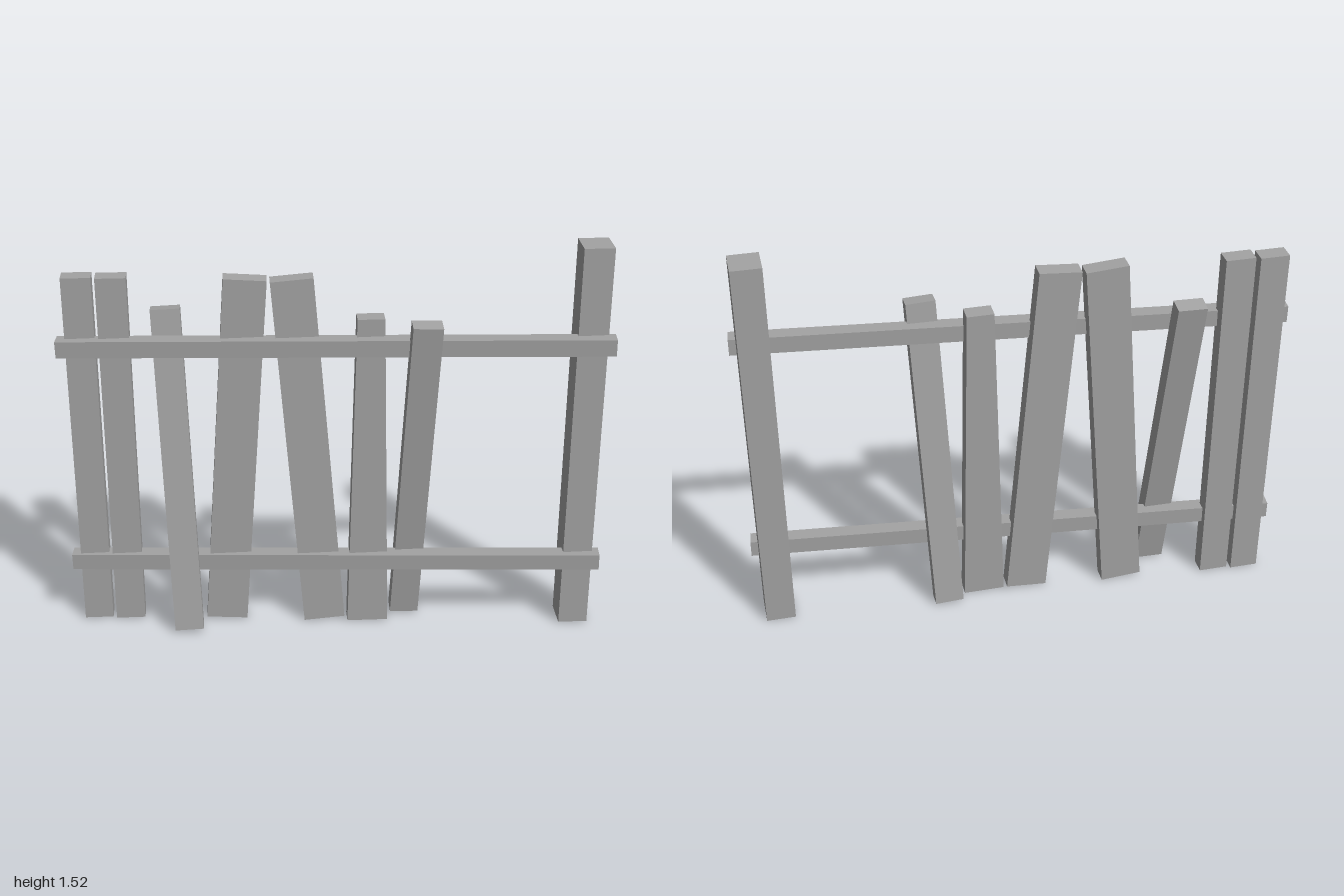
import * as THREE from 'three';

const wood = new THREE.MeshStandardMaterial({ color: 0xa3a3a3 });
wood.name = 'weatheredGrey';

// Squared timber running between two end centres, with an optional taper towards the end.
// side = direction of the width; [width, depth] is the cross-section.
function timber(name, start, end, [width, depth], side, taper = 1) {
  const a = new THREE.Vector3(...start), b = new THREE.Vector3(...end);
  const yAxis = b.clone().sub(a);
  const length = yAxis.length();
  yAxis.normalize();
  const xAxis = side.clone().addScaledVector(yAxis, -side.dot(yAxis)).normalize();
  const zAxis = xAxis.clone().cross(yAxis);

  const geometry = new THREE.BoxGeometry(width, length, depth);
  const p = geometry.attributes.position;
  for (let i = 0; i < p.count; i++) {
    if (p.getY(i) > 0) p.setX(i, p.getX(i) * taper);
  }
  geometry.applyMatrix4(new THREE.Matrix4().makeBasis(xAxis, yAxis, zAxis));
  geometry.computeVertexNormals();
  const mesh = new THREE.Mesh(geometry, wood);
  mesh.name = name;
  mesh.position.copy(a).add(b).multiplyScalar(0.5);
  return mesh;
}

export function createModel() {
  const fence = new THREE.Group();
  fence.name = 'brokenFence';

  // Uprights are all turned slightly about the vertical
  const yaw = 0.085;
  const across = new THREE.Vector3(Math.cos(yaw), 0, -Math.sin(yaw));

  // Corner post
  fence.add(timber('post', [0.915, 0.005, -0.04], [0.915, 1.525, -0.062], [0.11, 0.115], across));

  // Pickets: bottom centre, top centre, width, top taper
  const pickets = [
    [[-0.918, 0.006, -0.01], [-0.918, 1.403, -0.034], 0.107, 1],
    [[-0.795, 0.006, -0.01], [-0.795, 1.403, -0.034], 0.11, 1],
    [[-0.556, 0.018, 0.098], [-0.616, 1.256, -0.1], 0.108, 1],
    [[-0.42, 0.012, -0.01], [-0.32, 1.4, -0.034], 0.155, 1],
    [[-0.043, 0.012, -0.01], [-0.155, 1.4, -0.034], 0.155, 1],
    [[0.123, 0.006, -0.01], [0.127, 1.254, -0.034], 0.155, 0.64],
    [[0.265, 0.012, -0.072], [0.327, 1.264, 0.064], 0.108, 1],
  ];
  pickets.forEach(([bottom, top, width, taper], i) => {
    fence.add(timber(`picket${i + 1}`, bottom, top, [width, 0.063], across, taper));
  });

  // Two horizontal rails, rising slightly towards the post
  const up = new THREE.Vector3(0, 1, 0);
  [['lowerRail', 0.261, 0.287], ['upperRail', 1.142, 1.17]].forEach(([name, y0, y1]) => {
    fence.add(timber(name, [-1, y0, 0.005], [1, y1, 0.014], [0.063, 0.057], up));
  });

  return fence;
}
